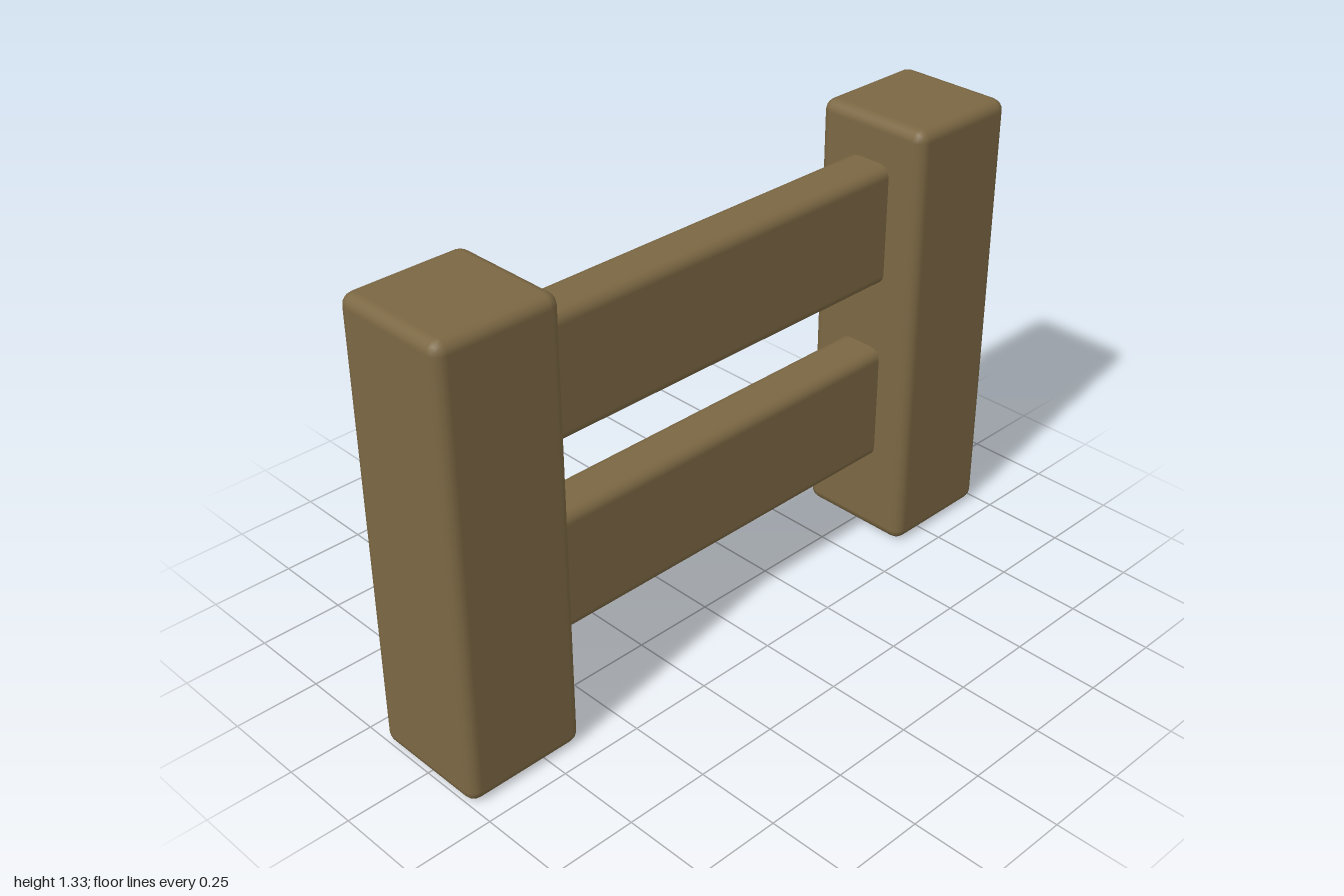
import * as THREE from 'three';
import { RoundedBoxGeometry } from 'three/addons/geometries/RoundedBoxGeometry.js';

export function createModel() {
  const model = new THREE.Group();
  model.name = 'fence';

  const wood = new THREE.MeshStandardMaterial({ color: 0x7b6743 });
  wood.name = 'brown wood';

  // A timber with softly bevelled edges, placed by its centre
  function timber(name, w, h, d, x, y) {
    const mesh = new THREE.Mesh(new RoundedBoxGeometry(w, h, d, 2, 0.034), wood);
    mesh.name = name;
    mesh.position.set(x, y, 0);
    model.add(mesh);
  }

  // Square posts at both ends
  const postWidth = 0.366, postHeight = 1.332;
  for (const side of [-1, 1]) {
    timber(side > 0 ? 'leftPost' : 'rightPost', postWidth, postHeight, postWidth,
      side * (1 - postWidth / 2), postHeight / 2);
  }

  // Two flat rails let into the posts
  timber('lowerRail', 1.36, 0.366, 0.148, 0, 0.445);
  timber('upperRail', 1.36, 0.366, 0.148, 0, 1.022);

  return model;
}
